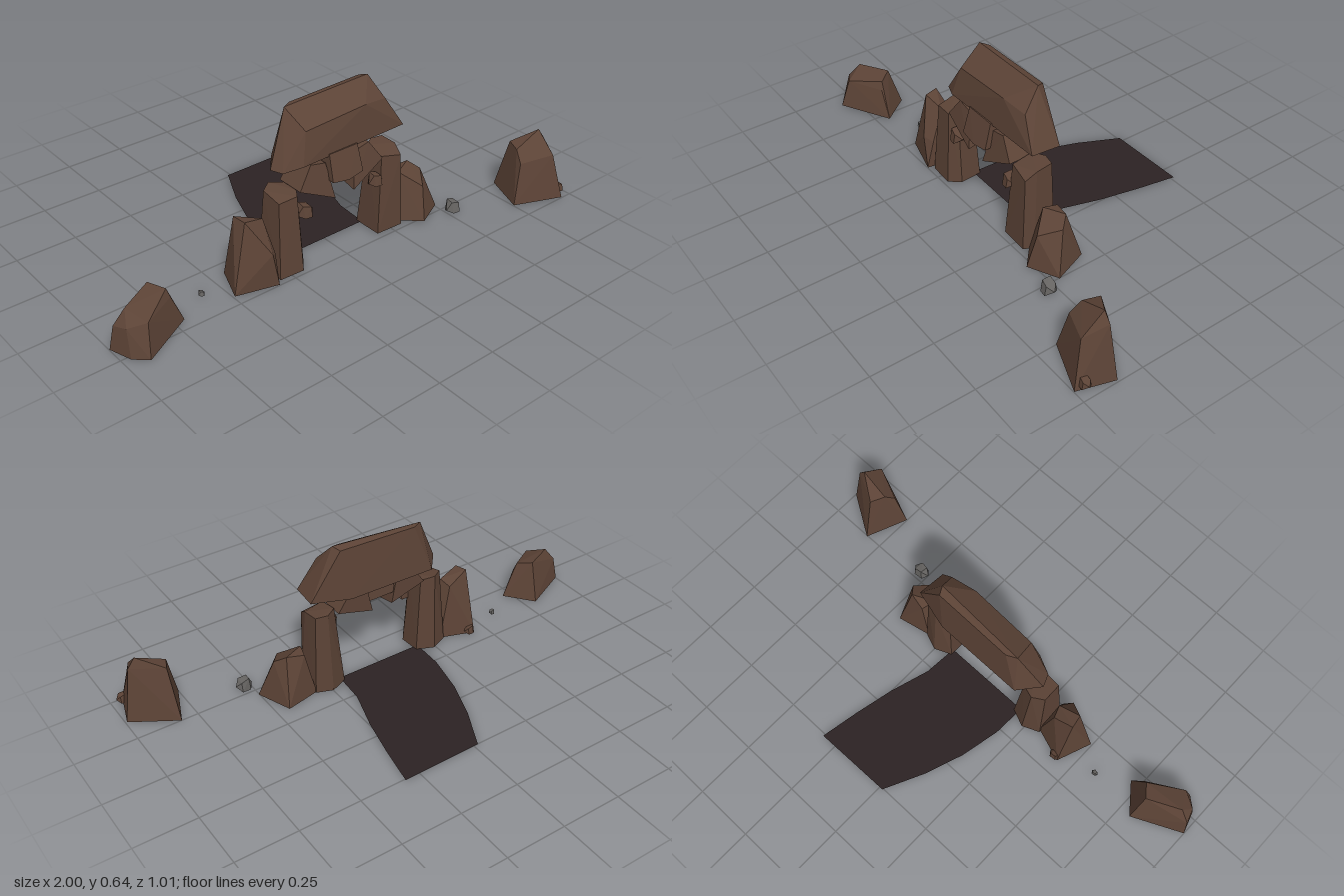
import * as THREE from 'three';
import { ConvexGeometry } from 'three/addons/geometries/ConvexGeometry.js';

const brown = new THREE.MeshStandardMaterial({ color: 0x5c4336 });
brown.name = 'brown rock';
const grey = new THREE.MeshStandardMaterial({ color: 0x666462 });
grey.name = 'grey stone';
const dark = new THREE.MeshStandardMaterial({ color: 0x2c2223, side: THREE.DoubleSide });
dark.name = 'dark path';

export function createModel() {
  const model = new THREE.Group();
  model.name = 'rockArch';

  // faceted rock wrapped around a few corner points
  const rock = (name, corners, material = brown) => {
    const geometry = new ConvexGeometry(corners.map((c) => new THREE.Vector3(...c)));
    const mesh = new THREE.Mesh(geometry, material);
    mesh.name = name;
    model.add(mesh);
    return mesh;
  };

  // free-standing boulders
  rock('rightBoulder', [
    [-1, 0, 0.18], [-0.8, 0, 0.085], [-0.71, 0, 0.2], [-0.92, 0, 0.315], [-0.97, 0, 0.27],
    [-0.985, 0.1, 0.19], [-0.94, 0.16, 0.2], [-0.81, 0.17, 0.135], [-0.77, 0.155, 0.19],
    [-0.9, 0.125, 0.28], [-0.76, 0.12, 0.2], [-0.965, 0.11, 0.245],
  ]);
  rock('leftBoulder', [
    [0.82, 0, 0.245], [0.995, 0, 0.355], [0.95, 0, 0.5], [0.75, 0, 0.42],
    [0.83, 0.22, 0.3], [0.925, 0.27, 0.365], [0.955, 0.23, 0.365],
    [0.92, 0.19, 0.455], [0.805, 0.215, 0.36], [0.79, 0.17, 0.4],
  ]);

  // outer buttress rocks
  rock('rightButtress', [
    [-0.495, 0, 0.205], [-0.325, 0, 0.25], [-0.3, 0, 0.11], [-0.44, 0, 0.06],
    [-0.435, 0.28, 0.125], [-0.425, 0.275, 0.18], [-0.335, 0.25, 0.165],
    [-0.35, 0.23, 0.12], [-0.35, 0.14, 0.245], [-0.32, 0.12, 0.22],
  ]);
  rock('leftButtress', [
    [0.45, 0, 0.07], [0.505, 0, 0.215], [0.385, 0, 0.275], [0.3, 0, 0.2], [0.31, 0, 0.1],
    [0.335, 0.195, 0.165], [0.42, 0.2, 0.125], [0.455, 0.17, 0.165],
    [0.4, 0.14, 0.24], [0.35, 0.19, 0.11],
  ]);

  // upright pillars: six-sided, tapering upwards
  const pillar = (name, base, top) =>
    rock(name, [...base.map(([x, z]) => [x, 0, z]), ...top]);
  pillar('rightPillar',
    [[-0.31, 0.1], [-0.24, 0.07], [-0.17, 0.1], [-0.165, 0.19], [-0.2, 0.235], [-0.305, 0.23]],
    [[-0.295, 0.33, 0.12], [-0.25, 0.335, 0.09], [-0.195, 0.325, 0.11],
      [-0.19, 0.32, 0.18], [-0.21, 0.315, 0.21], [-0.29, 0.31, 0.205]]);
  pillar('leftPillar',
    [[0.18, 0.1], [0.25, 0.07], [0.315, 0.095], [0.32, 0.19], [0.3, 0.23], [0.18, 0.225]],
    [[0.205, 0.345, 0.12], [0.25, 0.345, 0.09], [0.3, 0.345, 0.1],
      [0.305, 0.34, 0.17], [0.295, 0.31, 0.215], [0.205, 0.33, 0.205]]);

  // wedge stones of the arch
  rock('keystone', [
    [-0.06, 0.435, 0.21], [0.075, 0.435, 0.21], [-0.065, 0.33, 0.24], [0.08, 0.33, 0.24],
    [0.01, 0.32, 0.245], [-0.06, 0.435, 0.11], [0.075, 0.435, 0.11],
    [-0.06, 0.33, 0.1], [0.075, 0.33, 0.1],
  ]);
  for (const [name, s] of [['rightArchStone', -1], ['leftArchStone', 1]]) {
    const outline = [[0.2, 0.33], [0.14, 0.415], [0.07, 0.4], [0.045, 0.255]];
    rock(name, [
      ...outline.map(([x, y], i) => [s * x, y, [0.215, 0.2, 0.2, 0.23][i]]),
      ...outline.map(([x, y], i) => [s * x, y + (i === 3 ? 0.03 : 0), 0.095]),
    ]);
  }

  // lintel slab across the top
  rock('lintel', [
    [-0.27, 0.41, 0.13], [-0.2, 0.41, 0.045], [0.17, 0.415, 0.045], [0.325, 0.43, 0.085],
    [0.315, 0.43, 0.2], [-0.18, 0.425, 0.21], [-0.25, 0.41, 0.18],
    [-0.17, 0.615, 0.085], [-0.13, 0.615, 0.065], [0.2, 0.625, 0.068],
    [0.215, 0.635, 0.1], [-0.15, 0.55, 0.185], [0.13, 0.57, 0.19], [0.24, 0.555, 0.175],
  ]);

  // small loose stones: [name, x, y, z, radius, material]
  const pebbles = [
    ['rightWedgePebble', -0.168, 0.237, 0.2, 0.037, brown],
    ['leftWedgePebble', 0.178, 0.24, 0.2, 0.035, brown],
    ['buttressPebble', -0.42, 0.019, 0.07, 0.025, brown],
    ['boulderPebble', 0.96, 0.033, 0.465, 0.026, brown],
    ['rightGreyPebble', -0.585, 0.011, 0.123, 0.014, grey],
    ['leftGreyPebble', 0.53, 0.022, 0.285, 0.036, grey],
  ];
  const shape = [
    [-1, -0.3, 0.1], [-0.5, -0.7, -0.6], [0.5, -0.6, -0.7], [1, -0.1, 0], [0.4, -0.6, 0.8],
    [-0.4, -0.6, 0.7], [-0.5, 0.7, 0.4], [-0.4, 0.8, -0.5], [0.5, 0.5, -0.5], [0.4, 0.5, 0.6],
  ];
  for (const [name, x, y, z, r, material] of pebbles) {
    rock(name, shape.map((p) => p.map((v) => v * r)), material).position.set(x, y, z);
  }

  // flat path curving away behind the arch
  const leftEdge = [[-0.19, 0.12], [-0.185, -0.02], [-0.15, -0.185], [-0.095, -0.34], [-0.015, -0.505]];
  const rightEdge = [[0.315, -0.51], [0.285, -0.345], [0.25, -0.185], [0.2, -0.02], [0.19, 0.12]];
  const outline = new THREE.Shape([...leftEdge, ...rightEdge].map(([x, z]) => new THREE.Vector2(x, -z)));
  const path = new THREE.Mesh(new THREE.ShapeGeometry(outline).rotateX(-Math.PI / 2), dark);
  path.position.y = 0.002;
  path.name = 'path';
  model.add(path);

  return model;
}
